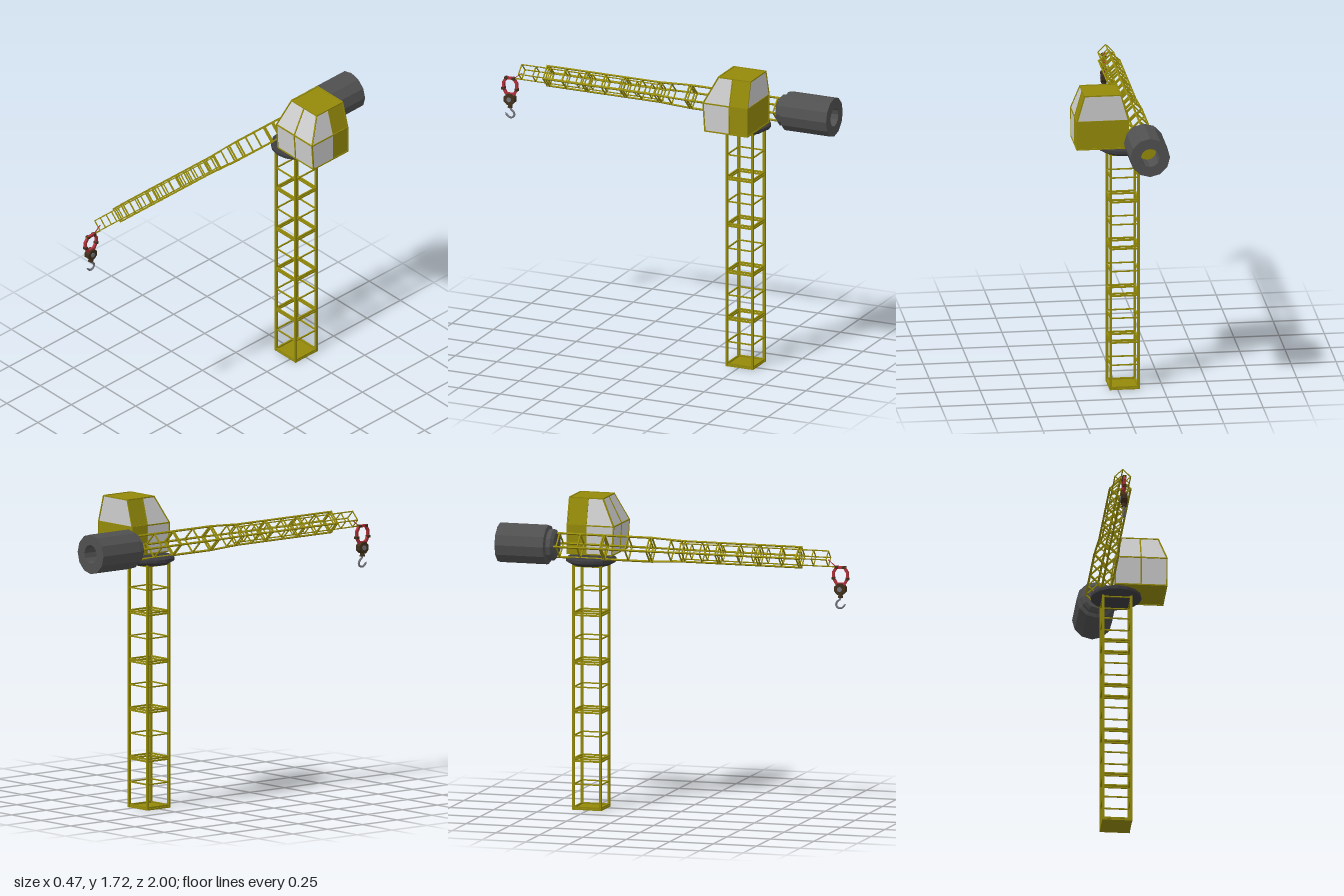
import * as THREE from 'three';

const mat = (color, side = THREE.FrontSide) =>
  new THREE.MeshStandardMaterial({ color, side, flatShading: true });
const yellow = mat(0x948a0a);
const yellowPanel = mat(0x948a0a, THREE.DoubleSide);
const glass = mat(0xcccccc, THREE.DoubleSide);
const dark = mat(0x505050);
const darker = mat(0x3c3c40);
const red = mat(0xb0303a);
const brown = mat(0x40301c);
const steel = mat(0x74767c);

const V = (x, y, z) => new THREE.Vector3(x, y, z);

function add(parent, name, geometry, material, x = 0, y = 0, z = 0) {
  const mesh = new THREE.Mesh(geometry, material);
  mesh.name = name;
  mesh.position.set(x, y, z);
  parent.add(mesh);
  return mesh;
}

function group(parent, name) {
  const g = new THREE.Group();
  g.name = name;
  parent.add(g);
  return g;
}

// Square bar between two points
function bar(parent, name, a, b, t, material = yellow) {
  const mesh = add(parent, name, new THREE.BoxGeometry(t, t, a.distanceTo(b) + t * 0.5), material);
  mesh.position.copy(a).lerp(b, 0.5);
  mesh.lookAt(b);
  return mesh;
}

// Closed loop of bars
function loop(parent, name, pts, t, material = yellow) {
  pts.forEach((p, i) => bar(parent, name, p, pts[(i + 1) % pts.length], t, material));
}

// Flat four-cornered panel
function panel(parent, name, pts, material) {
  const g = new THREE.BufferGeometry().setFromPoints(pts);
  g.setIndex([0, 1, 2, 0, 2, 3]);
  g.computeVertexNormals();
  return add(parent, name, g, material);
}

// Square lattice tower
function buildTower(root) {
  const tower = group(root, 'tower');
  const cx = -0.0375, cz = -0.505, h = 0.077, top = 1.36, sections = 5;
  const ring = y => [[-1, -1], [1, -1], [1, 1], [-1, 1]].map(([x, z]) => V(cx + x * h, y, cz + z * h));
  for (const p of ring(0)) {
    add(tower, 'towerLeg', new THREE.BoxGeometry(0.013, top, 0.013), yellow, p.x, top / 2, p.z);
  }
  const step = 0.27;
  for (let i = 0; i < sections; i++) {
    const y = i * step;
    if (i) loop(tower, 'towerJointRing', ring(y + 0.001), 0.009);
    loop(tower, 'towerJointRing', ring(y + 0.014), 0.009);
    loop(tower, 'towerBrace', ring(y + step / 2 + 0.007), 0.007);
  }
  loop(tower, 'towerTopRing', ring(top - 0.006), 0.009);
  add(tower, 'basePlate', new THREE.BoxGeometry(0.165, 0.008, 0.165), yellow, cx, 0.004, cz);
}

// Chamfered slewing disc on the tower
function buildTurntable(root) {
  const profile = [[0, 1.355], [0.105, 1.355], [0.14, 1.375], [0.14, 1.392], [0.125, 1.402], [0, 1.402]]
    .map(([r, y]) => new THREE.Vector2(r, y));
  add(root, 'turntable', new THREE.LatheGeometry(profile, 16), darker, -0.0375, 0, -0.505);
}

// Operator cab: lower walls upright, upper walls leaning in
function buildCab(root) {
  const cab = group(root, 'cab');
  const cx = 0.09, back = -0.638, mid = -0.53;
  const levels = [
    { y: 1.411, w: 0.142, f: -0.383 },
    { y: 1.57, w: 0.142, f: -0.372 },
    { y: 1.717, w: 0.1, f: -0.446 },
  ];
  const P = (l, s, z) => V(cx + s * l.w, l.y, z);
  const [lo, , hi] = levels;

  for (let i = 0; i < 2; i++) {
    const a = levels[i], b = levels[i + 1];
    for (const s of [-1, 1]) {
      panel(cab, 'sideWall', [P(a, s, back), P(a, s, mid), P(b, s, mid), P(b, s, back)], yellowPanel);
      panel(cab, 'sideWindow', [P(a, s, mid), P(a, s, a.f), P(b, s, b.f), P(b, s, mid)], glass);
      bar(cab, 'frontPillar', P(a, s, a.f), P(b, s, b.f), 0.007);
      bar(cab, 'rearPillar', P(a, s, back), P(b, s, back), 0.007);
      bar(cab, 'sidePillar', P(a, s, mid), P(b, s, mid), 0.005);
    }
    panel(cab, 'frontWindow', [P(a, -1, a.f), P(a, 1, a.f), P(b, 1, b.f), P(b, -1, b.f)], glass);
    panel(cab, i ? 'rearWindow' : 'rearWall',
      [P(a, 1, back), P(a, -1, back), P(b, -1, back), P(b, 1, back)], i ? glass : yellowPanel);
    bar(cab, 'frontMullion', P(a, 0, a.f), P(b, 0, b.f), 0.007);
  }
  for (const l of levels) {
    loop(cab, 'cabRail', [P(l, -1, back), P(l, 1, back), P(l, 1, l.f), P(l, -1, l.f)], 0.007);
  }
  panel(cab, 'roof', [P(hi, -1, back), P(hi, -1, hi.f), P(hi, 1, hi.f), P(hi, 1, back)], yellowPanel);
  panel(cab, 'floor', [P(lo, -1, back), P(lo, 1, back), P(lo, 1, lo.f), P(lo, -1, lo.f)], yellowPanel);
}

// Telescopic jib of diamond section: chords at top, bottom, left and right
const JX = -0.123, JY = 1.467;

function buildJib(root) {
  const jib = group(root, 'jib');
  const diamond = (r, z) => [[0, 1], [1, 0], [0, -1], [-1, 0]].map(([x, y]) => V(JX + x * r, JY + y * r, z));
  const chords = (name, r0, z0, r1, z1, t) => {
    const a = diamond(r0, z0), b = diamond(r1, z1);
    a.forEach((p, i) => bar(jib, name, p, b[i], t).rotateZ(Math.PI / 4));
  };
  const rings = (name, r, zs, t) => zs.forEach(z => loop(jib, name, diamond(r, z), t));

  chords('rootChord', 0.066, -0.7, 0.066, -0.125, 0.009);
  chords('taperChord', 0.066, -0.125, 0.058, 0.04, 0.008);
  rings('rootRing', 0.066, [-0.66, -0.54, -0.41, -0.4, -0.265, -0.143, -0.128], 0.007);

  chords('middleChord', 0.057, -0.02, 0.057, 0.733, 0.008);
  rings('middleRing', 0.057,
    [-0.02, 0.042, 0.06, 0.16, 0.25, 0.264, 0.38, 0.482, 0.496, 0.617, 0.717, 0.731], 0.006);

  chords('tipChord', 0.043, 0.03, 0.043, 0.885, 0.005);
  rings('tipRing', 0.043, [0.1, 0.19, 0.28, 0.37, 0.455, 0.54, 0.625, 0.71, 0.8, 0.885], 0.005);
  bar(jib, 'tipArm', V(JX, 1.424, 0.885), V(JX, 1.424, 0.985), 0.006);
}

// Hollow drum counterweight with a stepped collar
function buildCounterweight(root) {
  const profile = [[0, 0.675], [0.07, 0.675], [0.088, 0.69], [0.088, 0.715], [0.108, 0.722],
    [0.11, 0.73], [0.11, 1], [0.052, 1], [0.052, 0.86], [0, 0.86]]
    .map(([r, y]) => new THREE.Vector2(r, y));
  const drum = add(root, 'counterweight', new THREE.LatheGeometry(profile, 12), dark, JX - 0.002, JY, 0);
  drum.rotation.x = -Math.PI / 2;
  const cap = add(root, 'counterweightCore', new THREE.CylinderGeometry(0.051, 0.051, 0.012, 12),
    yellow, JX - 0.002, JY, -0.868);
  cap.rotation.x = Math.PI / 2;
}

// Shackle, block and hook hanging from the tip
function buildHook(root) {
  const hook = group(root, 'hookAssembly');
  const z = 0.955;
  const ring = [[0.022, 1.422], [0.04, 1.395], [0.04, 1.36], [0.022, 1.33],
    [-0.022, 1.33], [-0.04, 1.36], [-0.04, 1.395], [-0.022, 1.422]].map(([dz, y]) => V(JX, y, z + dz));
  loop(hook, 'shackle', ring, 0.014, red);
  for (const i of [0, 2, 5, 7]) {
    add(hook, 'shackleCollar', new THREE.BoxGeometry(0.022, 0.014, 0.018), brown, JX, ring[i].y, ring[i].z);
  }
  bar(hook, 'hoistCable', V(JX, 1.46, 0.885), V(JX, 1.424, 0.93), 0.004, red);

  const block = add(hook, 'hookBlock', new THREE.CylinderGeometry(0.034, 0.034, 0.034, 8), brown, JX, 1.302, z);
  block.rotation.set(0, Math.PI / 8, Math.PI / 2, 'ZYX');
  const pin = add(hook, 'blockPin', new THREE.CylinderGeometry(0.014, 0.014, 0.042, 8), steel, JX, 1.302, z);
  pin.rotation.z = Math.PI / 2;
  add(hook, 'blockNeck', new THREE.CylinderGeometry(0.012, 0.015, 0.02, 8), brown, JX, 1.263, z);

  const path = new THREE.CatmullRomCurve3([[0, 1.262], [-0.003, 1.246], [-0.02, 1.23], [-0.025, 1.212],
    [-0.012, 1.197], [0.008, 1.198], [0.024, 1.213]].map(([dz, y]) => V(JX, y, z + dz)));
  add(hook, 'hook', new THREE.TubeGeometry(path, 18, 0.006, 6), steel);
  const tip = add(hook, 'hookTip', new THREE.ConeGeometry(0.006, 0.014, 6), steel, JX, 1.217, z + 0.027);
  tip.rotation.x = 0.8;
}

export function createModel() {
  const root = new THREE.Group();
  root.name = 'towerCrane';
  buildTower(root);
  buildTurntable(root);
  buildCab(root);
  buildJib(root);
  buildCounterweight(root);
  buildHook(root);
  return root;
}
